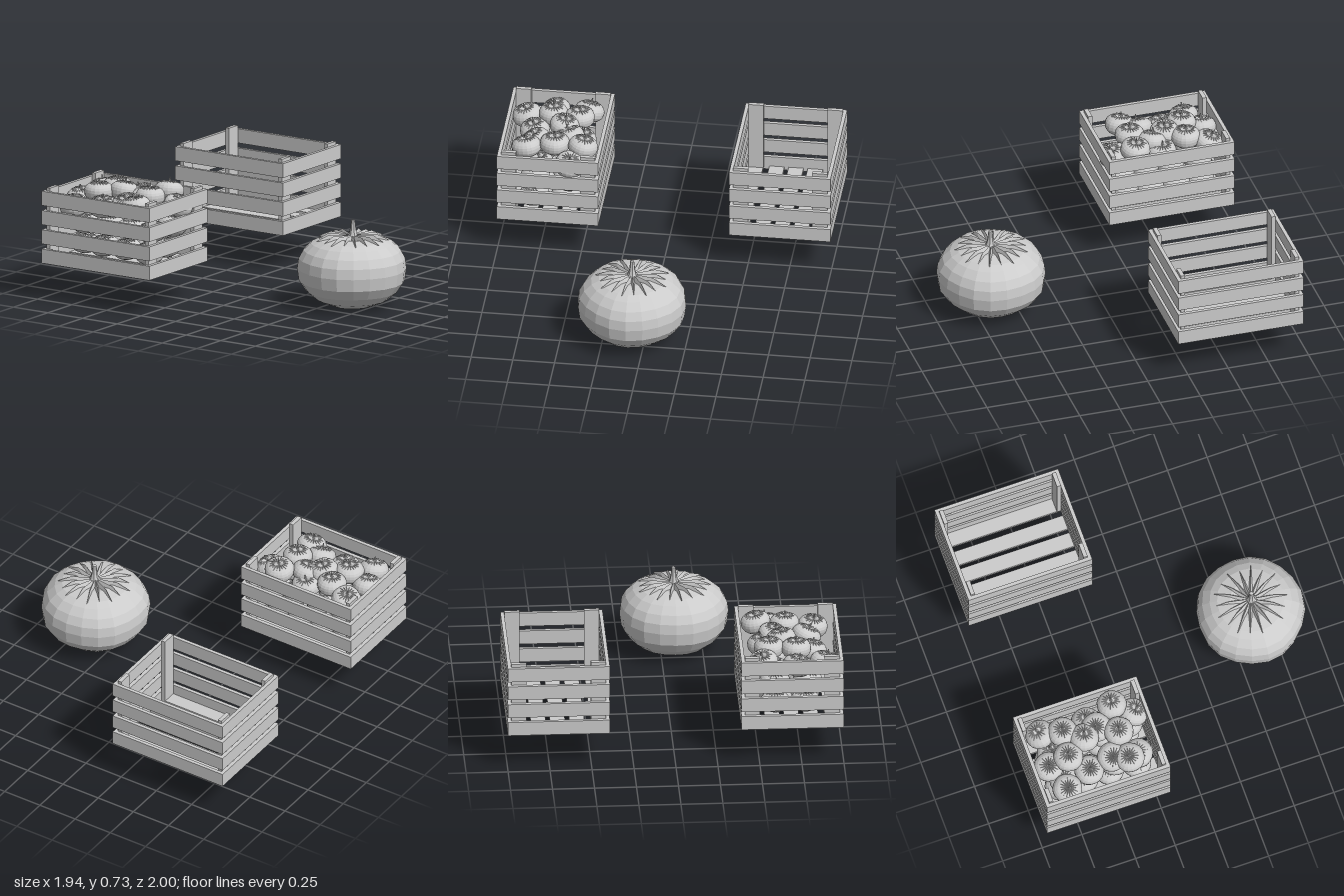
import * as THREE from 'three';

const grey = new THREE.MeshStandardMaterial({ color: 0xcccccc });
const faceted = new THREE.MeshStandardMaterial({ color: 0xcccccc, flatShading: true, side: THREE.DoubleSide });

function add(parent, name, geometry, material, x = 0, y = 0, z = 0) {
  const mesh = new THREE.Mesh(geometry, material);
  mesh.name = name;
  mesh.position.set(x, y, z);
  parent.add(mesh);
  return mesh;
}

const lathe = (pairs, sides) =>
  new THREE.LatheGeometry(pairs.map(([r, y]) => new THREE.Vector2(r, y)), sides);

// Pumpkin body: squat profile with slightly uneven sides
function bodyGeometry() {
  const g = lathe([
    [0, 0.012], [0.06, 0], [0.12, 0.01], [0.215, 0.05], [0.275, 0.1], [0.315, 0.16], [0.325, 0.235],
    [0.317, 0.295], [0.29, 0.345], [0.245, 0.387], [0.2, 0.41], [0.12, 0.425], [0, 0.4],
  ], 20);
  const p = g.attributes.position;
  for (let i = 0; i < p.count; i++) {
    const a = Math.atan2(p.getX(i), p.getZ(i));
    const k = 1 + 0.012 * Math.sin(5 * a + 0.6);
    p.setX(i, p.getX(i) * k);
    p.setZ(i, p.getZ(i) * k);
  }
  return g;
}

// Crown: a ring of narrow, ridged leaves
function crownGeometry(leaves = 18) {
  const v = [];
  const at = (r, a, y) => [r * Math.sin(a), y, r * Math.cos(a)];
  const half = Math.PI / leaves;
  for (let i = 0; i < leaves; i++) {
    const a = i * 2 * half;
    const C = [0, 0.435, 0];
    const L = at(0.095, a - half, 0.405), R = at(0.095, a + half, 0.405);
    const M = at(0.14, a, 0.445);
    const T = at(i % 2 ? 0.205 : 0.225, a, 0.408);
    v.push(...C, ...L, ...M, ...C, ...M, ...R, ...L, ...T, ...M, ...M, ...T, ...R);
  }
  const g = new THREE.BufferGeometry();
  g.setAttribute('position', new THREE.Float32BufferAttribute(v, 3));
  g.computeVertexNormals();
  return g;
}

const body = bodyGeometry();
const crown = crownGeometry();
const stem = lathe([[0.04, 0.42], [0.026, 0.44], [0.018, 0.47], [0.012, 0.527], [0, 0.53]], 7);

function pumpkin(name) {
  const g = new THREE.Group();
  g.name = name;
  add(g, 'body', body, faceted);
  add(g, 'leafCrown', crown, faceted);
  add(g, 'stem', stem, faceted, 0.006);
  return g;
}

// Slatted crate, centred in x and z, resting on y = 0
function crate(name) {
  const W = 0.78, D = 0.608, T = 0.022, H = 0.087, pitch = 0.1177;
  const g = new THREE.Group();
  g.name = name;
  const longSlat = new THREE.BoxGeometry(W, H, T);
  const endSlat = new THREE.BoxGeometry(T, H, D - 2 * T);
  const post = new THREE.BoxGeometry(0.025, 0.44, 0.09);
  for (const s of [-1, 1]) {
    for (let i = 0; i < 4; i++) {
      const y = H / 2 + i * pitch;
      add(g, 'sideSlat', longSlat, grey, 0, y, s * (D - T) / 2);
      add(g, 'endSlat', endSlat, grey, s * (W - T) / 2, y, 0);
    }
    for (const t of [-1, 1])
      add(g, 'cornerPost', post, grey, s * (W / 2 - T - 0.0125), 0.24, t * (D / 2 - T - 0.045));
  }
  const floorSlat = new THREE.BoxGeometry(W - 2 * T, 0.02, 0.09);
  for (const z of [-0.24, -0.115, 0, 0.115, 0.24]) add(g, 'floorSlat', floorSlat, grey, 0, 0.012, z);
  return g;
}

export function createModel() {
  const model = new THREE.Group();

  const large = pumpkin('largePumpkin');
  large.position.set(0.64, 0, 0.08);
  model.add(large);

  const empty = crate('emptyCrate');
  empty.position.set(-0.58, 0.224, -0.696);
  model.add(empty);

  const full = crate('fullCrate');
  full.position.set(-0.58, 0.224, 0.696);
  model.add(full);

  // Small pumpkins, given as x, base height, z, tilt about x, tilt about z
  const pile = [
    [-0.83, 0.55, 0.54, -0.2, 0.3], [-0.72, 0.58, 0.57, 0, 0], [-0.56, 0.53, 0.55, -0.2, 0],
    [-0.51, 0.57, 0.59, 0.1, -0.2], [-0.385, 0.59, 0.52, -0.1, 0.1], [-0.3, 0.53, 0.58, 0, -0.4],
    [-0.865, 0.53, 0.72, 0.1, 0.1], [-0.74, 0.58, 0.73, 0, 0], [-0.615, 0.585, 0.66, -0.1, 0.1],
    [-0.405, 0.585, 0.68, 0, 0], [-0.65, 0.52, 0.82, 0.2, -0.1], [-0.495, 0.55, 0.78, 0.1, 0.3],
    [-0.385, 0.56, 0.84, 0.15, -0.15], [-0.81, 0.52, 0.88, 0.45, 0.2],
  ];
  // Lower layers that show between the slats
  for (const [y, shift] of [[0.27, 0], [0.4, 0.03]])
    for (let i = 0; i < 4; i++)
      for (let j = 0; j < 2; j++)
        pile.push([-0.82 + i * 0.16 + shift, y, 0.6 + j * 0.18, 0.15 * (j - 0.5), 0.1 * (i - 1.5)]);

  pile.forEach(([x, y, z, rx, rz], i) => {
    const p = pumpkin('smallPumpkin');
    p.scale.setScalar(0.275);
    p.position.set(x, y, z);
    p.rotation.set(rx, i * 1.3, rz);
    model.add(p);
  });

  return model;
}
